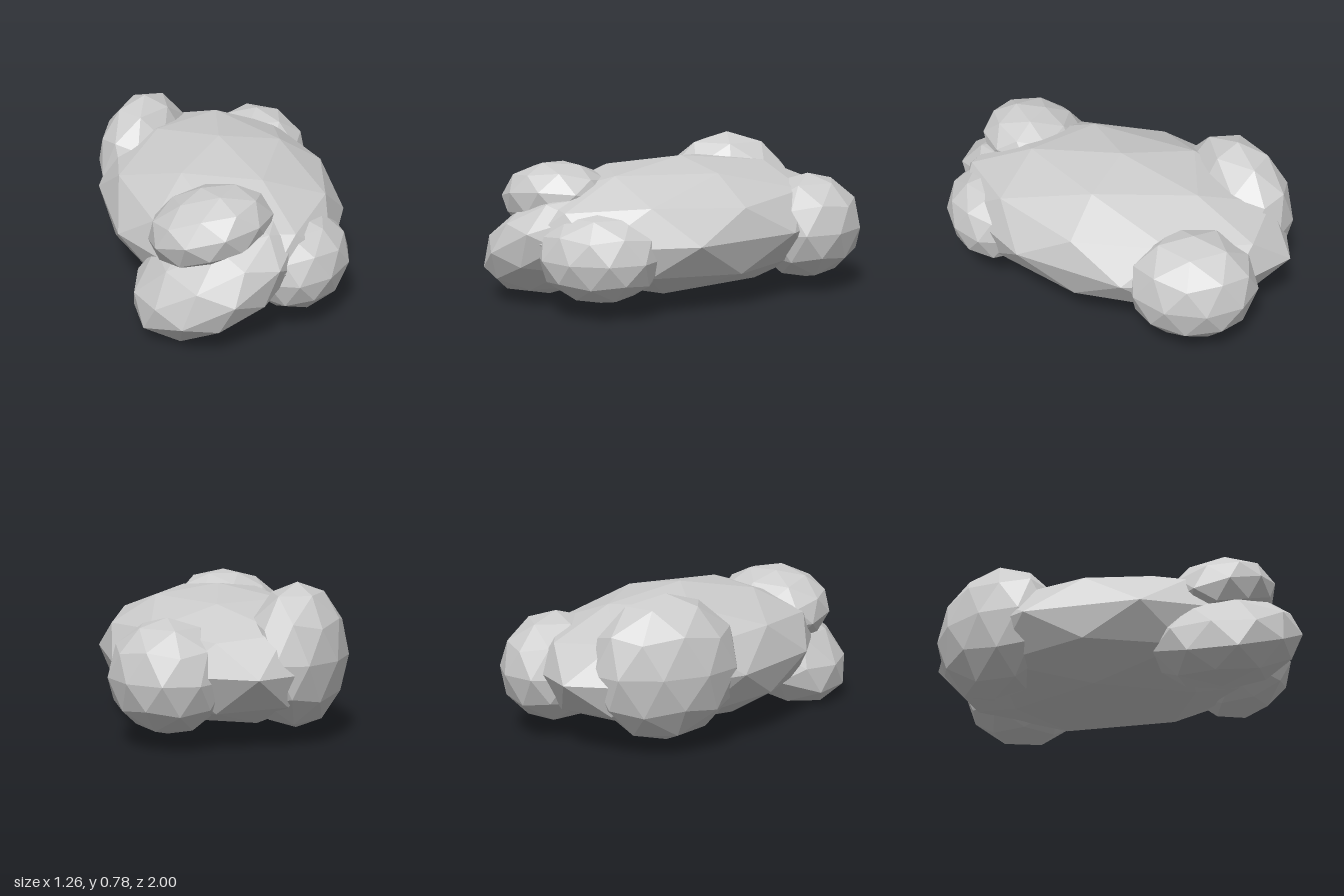
import * as THREE from 'three';

const deg = Math.PI / 180;

export function createModel() {
  const group = new THREE.Group();
  group.name = 'lumpyCloud';
  const material = new THREE.MeshStandardMaterial({ color: 0xcccccc, flatShading: true });

  // Faceted sphere turned so a vertex points straight up
  const ball = new THREE.IcosahedronGeometry(1, 1);
  ball.rotateZ(-Math.atan(2 / (1 + Math.sqrt(5))));

  // name, centre, radii, rotation in degrees
  const lumps = [
    ['body', [-0.025, 0.375, -0.04], [0.632, 0.355, 0.96], [0, 0, 0]],
    ['frontLowerLump', [-0.21, 0.298, 0.6], [0.46, 0.24, 0.4], [0, 0, 28]],
    ['frontUpperLump', [-0.225, 0.53, 0.585], [0.315, 0.2, 0.3], [-12, 0, 10]],
    ['frontLeftLump', [0.22, 0.31, 0.62], [0.24, 0.235, 0.32], [0, -45, 0]],
    ['backLeftLump', [0.34, 0.345, -0.615], [0.285, 0.285, 0.335], [0, 18, 0]],
    ['backRightLump', [-0.315, 0.42, -0.57], [0.25, 0.365, 0.385], [0, -30, 0]],
  ];

  for (const [name, centre, radii, turn] of lumps) {
    const lump = new THREE.Mesh(ball, material);
    lump.name = name;
    lump.position.set(...centre);
    lump.scale.set(...radii);
    lump.rotation.set(...turn.map((a) => a * deg));
    group.add(lump);
  }
  return group;
}
